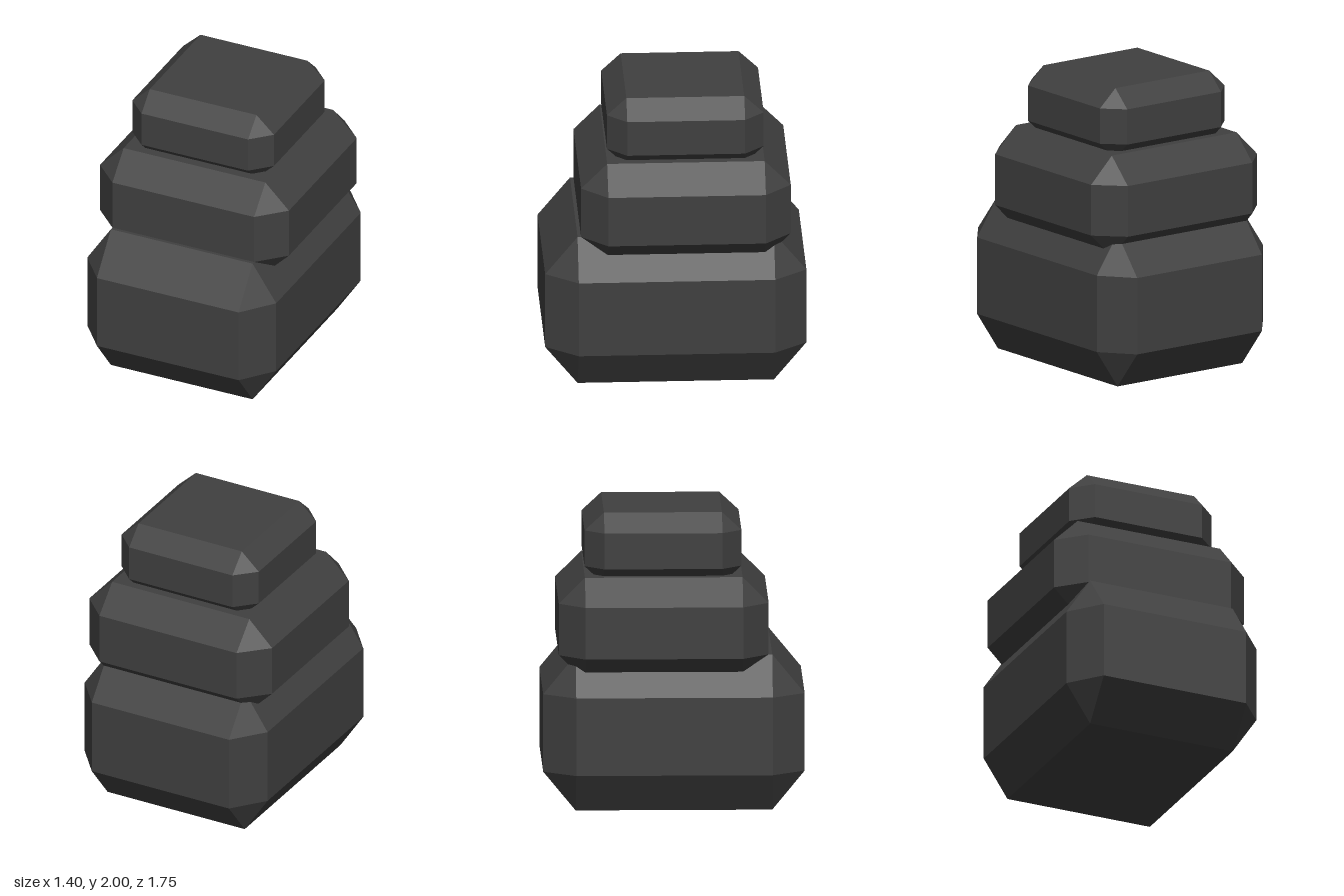
import * as THREE from 'three';
import { ConvexGeometry } from 'three/addons/geometries/ConvexGeometry.js';

// Box with every edge chamfered: half sizes h and chamfer depths c per axis
function chamferedBox(h, c) {
  const points = [];
  for (const sx of [-1, 1]) for (const sy of [-1, 1]) for (const sz of [-1, 1]) {
    // each corner is cut into three points, one on each adjoining face
    for (let face = 0; face < 3; face++) {
      const [x, y, z] = h.map((v, axis) => (axis === face ? v : v - c[axis]));
      points.push(new THREE.Vector3(sx * x, sy * y, sz * z));
    }
  }
  return new ConvexGeometry(points);
}

export function createModel() {
  const model = new THREE.Group();
  model.name = 'stackedStones';

  const stone = new THREE.MeshStandardMaterial({ color: 0x404040 });
  stone.name = 'dark grey stone';

  // Three stones, each sunk slightly into the one below
  const stones = [
    { name: 'bottomStone', half: [0.7, 0.5275, 0.875], chamfer: [0.175, 0.264, 0.217], y: 0.5275, z: 0 },
    { name: 'middleStone', half: [0.7, 0.35, 0.7025], chamfer: [0.175, 0.175, 0.175], y: 1.23, z: -0.068 },
    { name: 'topStone', half: [0.525, 0.2425, 0.525], chamfer: [0.13, 0.121, 0.13], y: 1.7575, z: -0.07 },
  ];
  for (const s of stones) {
    const mesh = new THREE.Mesh(chamferedBox(s.half, s.chamfer), stone);
    mesh.name = s.name;
    mesh.position.set(0, s.y, s.z);
    model.add(mesh);
  }
  return model;
}
